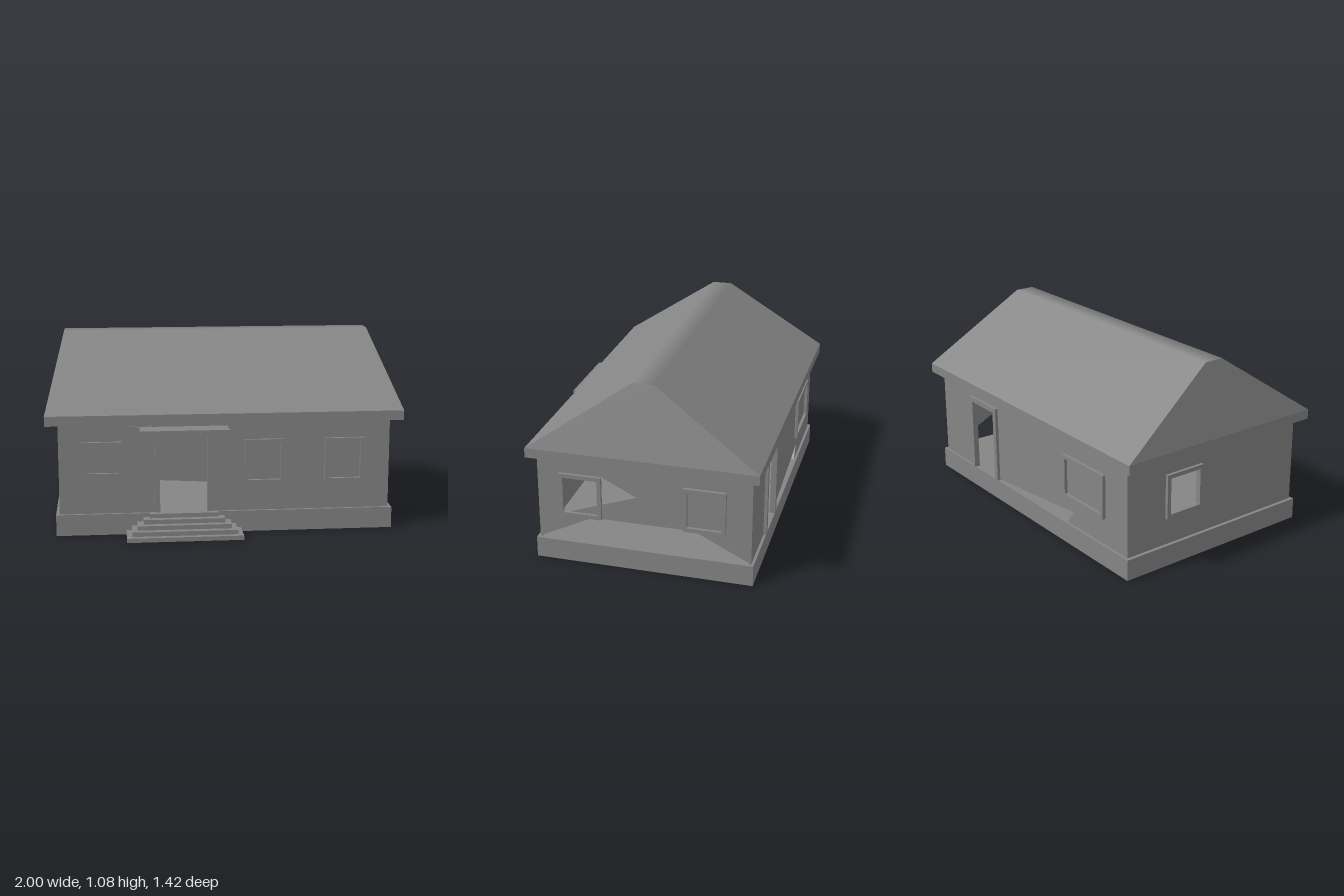
import * as THREE from 'three';

const material = new THREE.MeshStandardMaterial({ color: 0x858585 });
const THICK = 0.015; // wall thickness
const BASE = 0.12, EAVE = 0.63; // foot and top of the walls
const TRIM = 0.018; // how far the window and door frames stand out

const points = (list) => list.map(([x, y]) => new THREE.Vector2(x, y));
const rect = (x0, y0, x1, y1) => [[x0, y0], [x1, y0], [x1, y1], [x0, y1]];
const inset = ([x0, y0, x1, y1], b = 0.023) => rect(x0 + b, y0 + b, x1 - b, y1 - b);

function add(parent, name, geometry) {
  const mesh = new THREE.Mesh(geometry, material);
  mesh.name = name;
  parent.add(mesh);
}

// Box given by its two corners
function box(parent, name, x0, y0, z0, x1, y1, z1) {
  const geometry = new THREE.BoxGeometry(x1 - x0, y1 - y0, z1 - z0);
  geometry.translate((x0 + x1) / 2, (y0 + y1) / 2, (z0 + z1) / 2);
  add(parent, name, geometry);
}

// Upright slab with holes, extruded from local z = start
function slab(parent, name, outline, holes, start, depth) {
  const shape = new THREE.Shape(points(outline));
  for (const hole of holes) shape.holes.push(new THREE.Path(points(hole)));
  const geometry = new THREE.ExtrudeGeometry(shape, { depth, bevelEnabled: false });
  geometry.translate(0, 0, start);
  add(parent, name, geometry);
}

// Picture-frame moulding around a window
function windowFrame(parent, window, start) {
  slab(parent, 'windowFrame', rect(...window), [inset(window)], start, TRIM);
}

// Three-sided moulding around a door, open at the foot
function doorFrame(parent, x0, x1, top, start) {
  const b = 0.03;
  slab(parent, 'doorFrame', [
    [x0, BASE], [x0 + b, BASE], [x0 + b, top - b], [x1 - b, top - b],
    [x1 - b, BASE], [x1, BASE], [x1, top], [x0, top],
  ], [], start, TRIM);
}

// Roof: eave band, two slopes, slanted gables and a softly shaded ridge strip
function roofGeometry() {
  const ring = (x, y, zf, zb) => [[-x, y, zf], [x, y, zf], [x, y, zb], [-x, y, zb]];
  const rings = [
    ring(1, EAVE, 0.57, -0.71), ring(1, 0.685, 0.57, -0.71), ring(0.9, 1.083, -0.01, -0.125),
  ];
  const position = [], normal = [];
  const quad = (a, b, c, d, normals) => {
    const [va, vb, vc] = [a, b, c].map((p) => new THREE.Vector3(...p));
    const n = vb.clone().sub(va).cross(vc.sub(va)).normalize().toArray();
    const corners = [a, b, c, d];
    for (const i of [0, 1, 2, 0, 2, 3]) {
      position.push(...corners[i]);
      normal.push(...(normals ? normals[i] : n));
    }
  };
  for (let r = 0; r < 2; r++) {
    for (let i = 0; i < 4; i++) {
      const j = (i + 1) % 4;
      quad(rings[r][i], rings[r][j], rings[r + 1][j], rings[r + 1][i]);
    }
  }
  const front = new THREE.Vector3(0, 0.58, 0.398).normalize().toArray();
  const back = new THREE.Vector3(0, 0.585, -0.398).normalize().toArray();
  quad(...rings[2], [front, front, back, back]);
  quad(...[...rings[0]].reverse());
  const geometry = new THREE.BufferGeometry();
  geometry.setAttribute('position', new THREE.Float32BufferAttribute(position, 3));
  geometry.setAttribute('normal', new THREE.Float32BufferAttribute(normal, 3));
  return geometry;
}

export function createModel() {
  const house = new THREE.Group();
  house.name = 'house';
  const group = (name) => {
    const g = new THREE.Group();
    g.name = name;
    house.add(g);
    return g;
  };

  box(house, 'foundation', -0.95, 0, -0.68, 0.95, BASE, 0.545);
  add(house, 'roof', roofGeometry());

  // Front: three blind windows, a half-open doorway and a nick above the canopy
  const front = group('frontSide');
  slab(front, 'frontWall', [
    [-0.93, BASE], [-0.37, BASE], [-0.37, 0.305], [-0.1, 0.29], [-0.1, BASE],
    [0.93, BASE], [0.93, EAVE], [-0.39, EAVE], [-0.45, 0.598], [-0.56, EAVE], [-0.93, EAVE],
  ], [], 0.53 - THICK, THICK);
  for (const w of [
    [-0.8, 0.33, -0.58, 0.53], [0.105, 0.275, 0.33, 0.53], [0.56, 0.275, 0.785, 0.53],
  ]) windowFrame(front, w, 0.53);
  doorFrame(front, -0.4, -0.075, 0.58, 0.53);
  box(front, 'doorCanopy', -0.48, 0.592, 0.53, 0.01, 0.61, 0.65);

  // Back: open doorway, one wide blind window and a low gap beside the door
  const back = group('backSide');
  slab(back, 'backWall', [
    [-0.93, BASE], [-0.39, BASE], [-0.45, 0.2], [0.34, 0.122], [0.34, 0.55],
    [0.57, 0.55], [0.57, BASE], [0.93, BASE], [0.93, EAVE], [-0.93, EAVE],
  ], [], -0.665, THICK);
  windowFrame(back, [-0.74, 0.275, -0.37, 0.53], -0.665 - TRIM);
  doorFrame(back, 0.31, 0.6, 0.58, -0.665 - TRIM);

  // Left end (+x), drawn in (-z, y): two windows and the gaps in the wall
  const left = group('leftSide');
  left.rotation.y = Math.PI / 2;
  slab(left, 'leftWall', [
    [-0.515, 0.127], [-0.22, 0.275], [0.35, 0.275], [0.65, 0.128], [0.65, EAVE], [-0.515, EAVE],
  ], [
    [[-0.39, 0.285], [0.03, 0.433], [-0.165, 0.53], [-0.39, 0.52]],
  ], 0.93 - THICK, THICK);
  for (const w of [[-0.405, 0.275, -0.165, 0.53], [0.29, 0.275, 0.525, 0.53]]) {
    windowFrame(left, w, 0.93);
  }

  // Right end (-x): a single open window
  const right = group('rightSide');
  right.rotation.y = Math.PI / 2;
  const rightWindow = [0.16, 0.275, 0.41, 0.53];
  slab(right, 'rightWall', rect(-0.515, BASE, 0.65, EAVE), [inset(rightWindow)], -0.93, THICK);
  windowFrame(right, rightWindow, -0.93 - TRIM);

  // Steps narrowing up to the front door
  const steps = group('frontSteps');
  const treads = [[0.71, 0], [0.68, 0.03], [0.645, 0.06], [0.61, 0.095], [0.575, 0.13]];
  treads.forEach(([z, side], i) => {
    box(steps, 'step', -0.56 + side, i * 0.0245, 0.54, 0.085 - side, (i + 1) * 0.0245, z);
  });

  return house;
}
